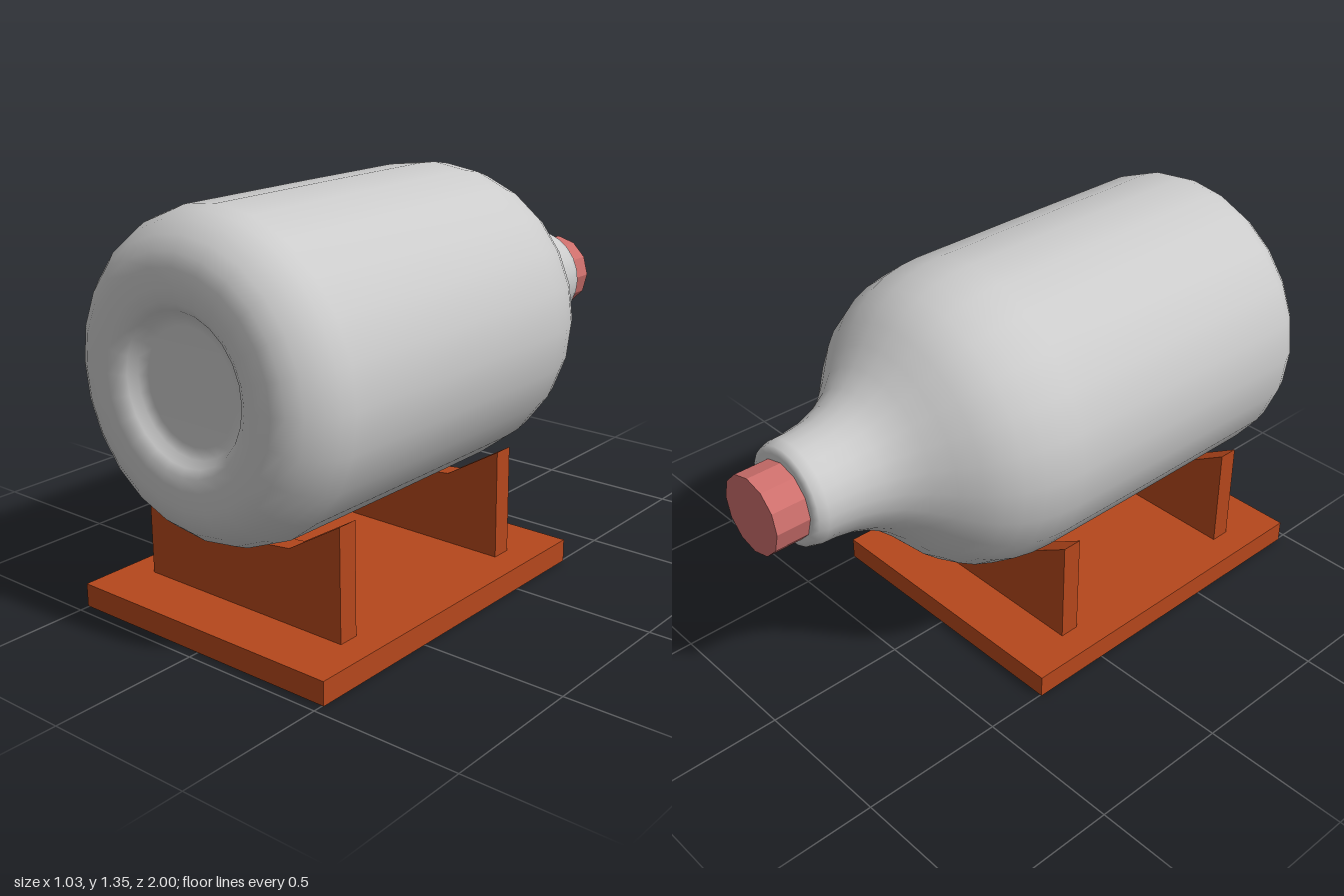
import * as THREE from 'three';

const glass = new THREE.MeshStandardMaterial({ color: 0xcccccc });
const wood = new THREE.MeshStandardMaterial({ color: 0xb5471c, flatShading: true });
const red = new THREE.MeshStandardMaterial({ color: 0xcd6f6c, flatShading: true });
const AXIS_Y = 0.833; // height of the bottle's axis

function add(group, name, geometry, material, x, y, z) {
  const mesh = new THREE.Mesh(geometry, material);
  mesh.name = name;
  mesh.position.set(x, y, z);
  group.add(mesh);
  return mesh;
}

// Lying bottle: [radius, z] from the mouth to the hollow in its base
function bottleGeometry() {
  const profile = [
    [0, -0.88], [0.145, -0.882], [0.165, -0.872], [0.174, -0.84], [0.176, -0.79],
    [0.186, -0.72], [0.207, -0.655], [0.24, -0.595], [0.29, -0.54], [0.345, -0.49],
    [0.4, -0.44], [0.442, -0.39], [0.473, -0.335], [0.497, -0.27], [0.51, -0.2],
    [0.515, -0.13], [0.516, 0.3], [0.515, 0.82], [0.505, 0.87], [0.485, 0.915],
    [0.448, 0.96], [0.405, 0.988], [0.36, 0.999], [0.3, 1], [0.26, 0.996],
    [0.235, 0.98], [0.215, 0.955], [0.18, 0.945], [0, 0.945],
  ].map(([r, z]) => new THREE.Vector2(r, z));
  return new THREE.LatheGeometry(profile, 24).rotateX(Math.PI / 2);
}

// Upright board with a cradle cut into its top edge
function cradleGeometry() {
  const outline = [
    [-0.402, 0.07], [0.402, 0.07], [0.402, 0.45], [0.202, 0.329],
    [0, 0.305], [-0.202, 0.329], [-0.402, 0.45],
  ].map(([x, y]) => new THREE.Vector2(x, y));
  return new THREE.ExtrudeGeometry(new THREE.Shape(outline), { depth: 0.07, bevelEnabled: false });
}

export function createModel() {
  const model = new THREE.Group();
  model.name = 'bottleOnStand';

  add(model, 'bottle', bottleGeometry(), glass, 0, AXIS_Y, 0);

  // Stopper in the mouth
  const stopper = new THREE.CylinderGeometry(0.132, 0.132, 0.13, 12).rotateX(Math.PI / 2);
  add(model, 'stopper', stopper, red, -0.003, AXIS_Y - 0.005, -0.935);

  // Stand
  add(model, 'standBase', new THREE.BoxGeometry(1.01, 0.078, 1.25), wood, 0, 0.039, 0.34);
  add(model, 'frontCradle', cradleGeometry(), wood, 0, 0, 0.7);
  add(model, 'rearCradle', cradleGeometry(), wood, 0, 0, -0.09);

  return model;
}
